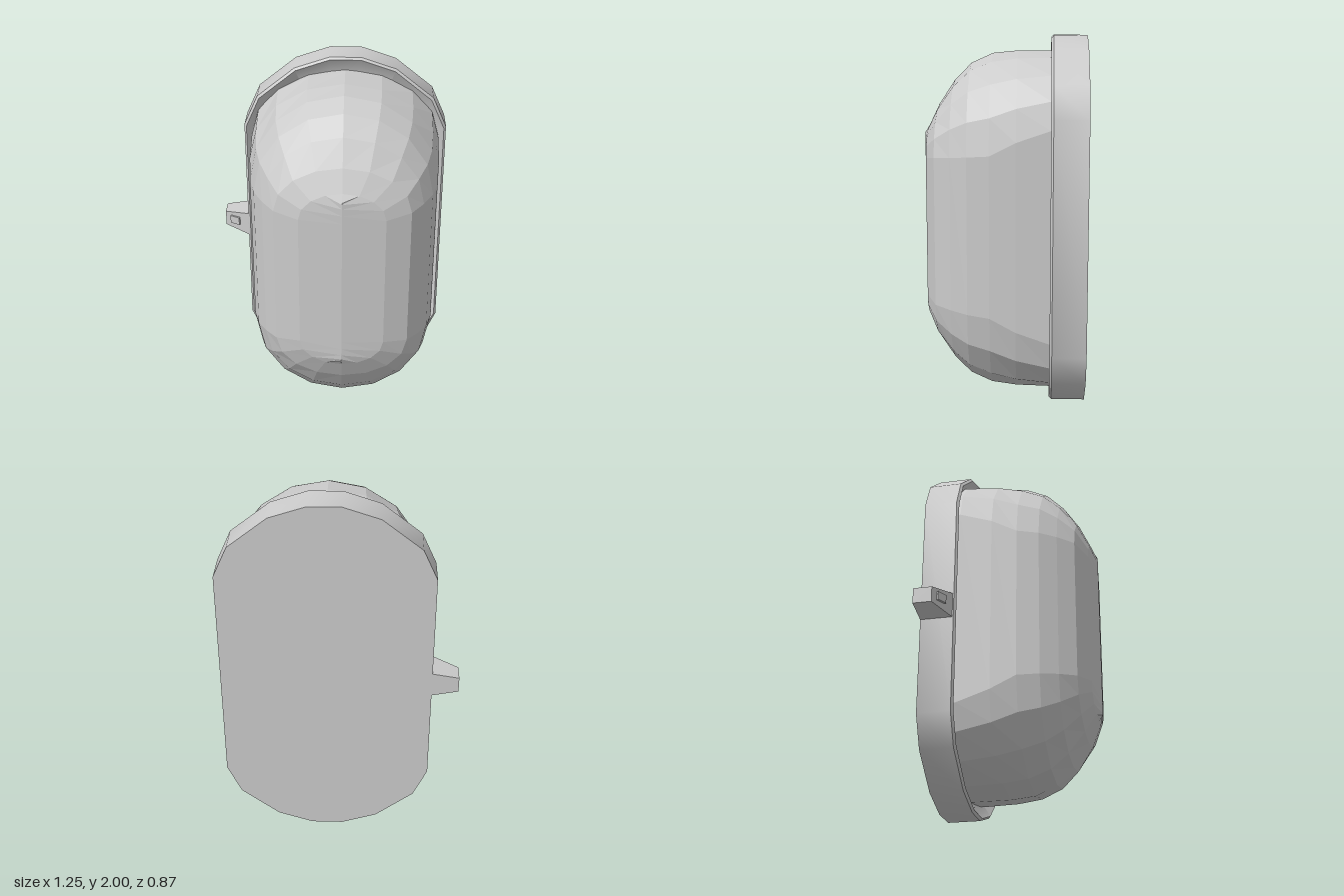
import * as THREE from 'three';
import { toCreasedNormals } from 'three/addons/utils/BufferGeometryUtils.js';

const CX = 0.065, CY = 1; // centre of the lamp body

// Skin over matching closed rings, counter-clockwise seen from the end of the loft
function loft(rings, capStart, capEnd) {
  const pos = [];
  const tri = (a, b, c) => pos.push(...a, ...b, ...c);
  const n = rings[0].length;
  for (let r = 0; r < rings.length - 1; r++) {
    const a = rings[r], b = rings[r + 1];
    for (let i = 0; i < n; i++) {
      const j = (i + 1) % n;
      tri(a[i], a[j], b[j]);
      tri(a[i], b[j], b[i]);
    }
  }
  const first = rings[0], last = rings[rings.length - 1];
  for (let i = 1; i < n - 1; i++) {
    if (capStart) tri(first[0], first[i + 1], first[i]);
    if (capEnd) tri(last[0], last[i], last[i + 1]);
  }
  const g = new THREE.BufferGeometry();
  g.setAttribute('position', new THREE.Float32BufferAttribute(pos, 3));
  g.computeVertexNormals();
  return g;
}

// Full ring from the points of its upper right quarter
function mirrorRing(quarter, z) {
  const back = [...quarter].reverse();
  const top = [...quarter, ...back.filter(p => p[0] > 0.001 || quarter.indexOf(p) < quarter.length - 1)
    .map(([x, y]) => [-x, y])];
  const bottom = top.map(([x, y]) => [-x, -y]);
  return [...top, ...bottom].map(([x, y]) => [CX + x, CY + y, z]);
}

// Straight sides with half-elliptical ends
function capsuleRing([z, halfWidth, straight, halfHeight]) {
  const quarter = [];
  for (let i = 0; i <= 4; i++) {
    const a = (i / 4) * Math.PI / 2;
    quarter.push([
      i === 4 ? 0 : halfWidth * Math.cos(a),
      straight + (halfHeight - straight) * Math.sin(a),
    ]);
  }
  return mirrorRing(quarter, z);
}

// Faceted plate outline scaled to a half width and half height
function plateRing([z, w, h]) {
  const outline = [[0.555, 0.61], [0.48, 0.775], [0.275, 0.937], [0.085, 1]];
  return mirrorRing(outline.map(([x, y]) => [x * w / 0.555, y * h]), z);
}

export function createModel() {
  const model = new THREE.Group();
  model.name = 'bulkheadLamp';
  const smooth = new THREE.MeshStandardMaterial({ color: 0xcccccc });
  const flat = new THREE.MeshStandardMaterial({ color: 0xcccccc, flatShading: true });
  const add = (name, geometry, material) => {
    const mesh = new THREE.Mesh(geometry, material);
    mesh.name = name;
    model.add(mesh);
    return mesh;
  };

  // Back plate: wall, small bevel, lip and a channel sloping in to the cover
  const plate = loft([
    [-0.435, 0.555, 1], [-0.257, 0.555, 1], [-0.245, 0.543, 0.988],
    [-0.29, 0.5, 0.91],
  ].map(plateRing), true, true);
  add('backPlate', toCreasedNormals(plate, 0.55), smooth);

  // Domed cover, closing on a vertical ridge: z, half width, straight part, half height
  add('domeCover', loft([
    [-0.31, 0.515, 0.55, 0.92],
    [-0.245, 0.515, 0.55, 0.92],
    [-0.07, 0.512, 0.49, 0.92],
    [0.065, 0.5, 0.42, 0.907],
    [0.18, 0.47, 0.41, 0.855],
    [0.27, 0.42, 0.4, 0.765],
    [0.355, 0.355, 0.39, 0.635],
    [0.41, 0.225, 0.37, 0.52],
    [0.435, 0, 0.36, 0.48],
  ].map(capsuleRing), false, false), flat);

  // Tapered side lug
  const lugRing = ([x, y0, y1, z]) =>
    [[x, y0, -0.435], [x, y1, -0.435], [x, y1, z], [x, y0, z]];
  add('sideLug', loft([
    [-0.63, 0.94, 1.025, -0.335],
    [-0.48, 0.91, 1.05, -0.258],
  ].map(lugRing), true, true), flat);

  // Small catch on the lug
  const nub = add('lugCatch', new THREE.BoxGeometry(0.06, 0.046, 0.04), flat);
  nub.position.set(-0.565, 0.987, -0.312);
  nub.rotation.y = -0.49;

  return model;
}
